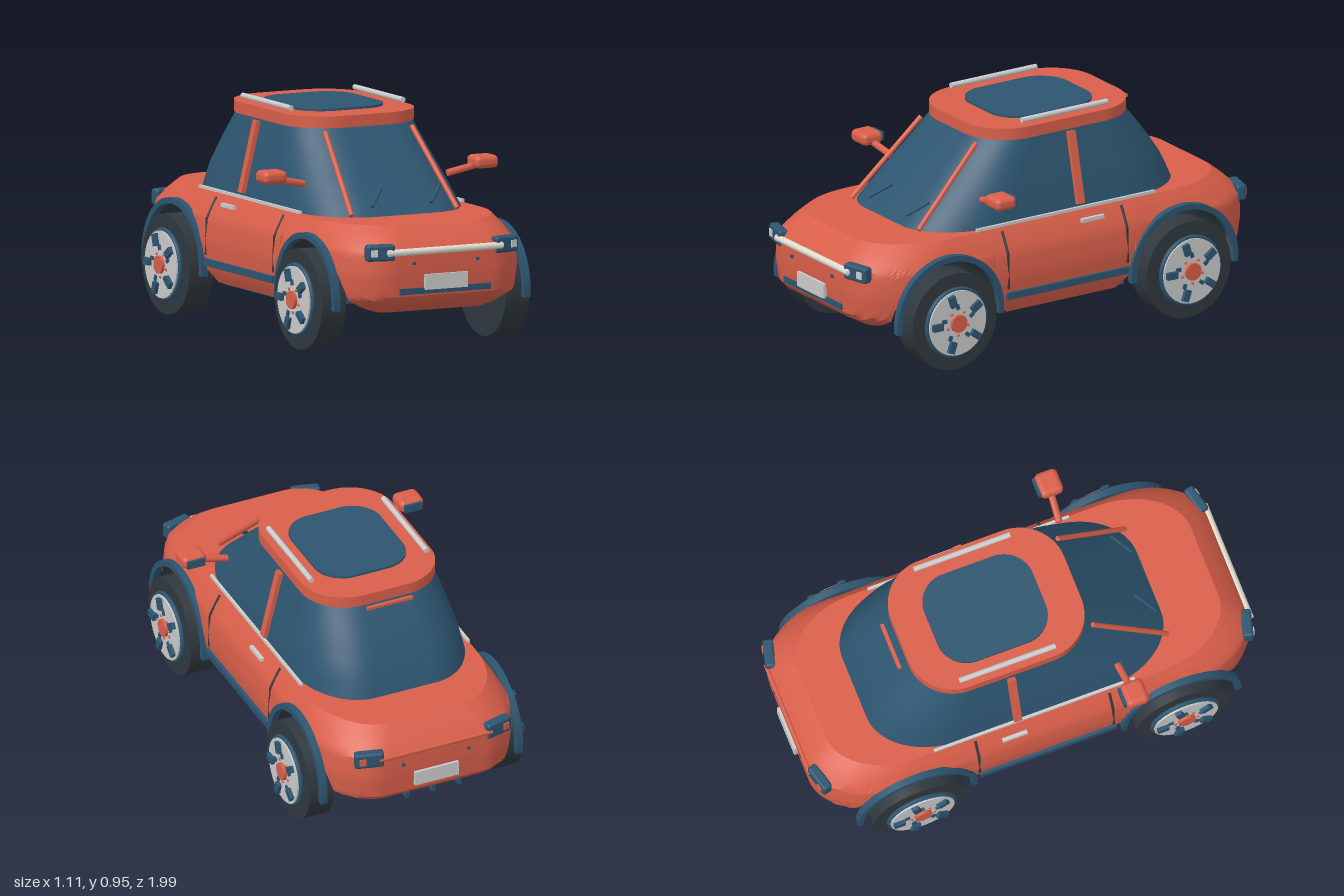
import * as THREE from 'three';
import { toCreasedNormals } from 'three/addons/utils/BufferGeometryUtils.js';
import { RoundedBoxGeometry } from 'three/addons/geometries/RoundedBoxGeometry.js';

const mat = (color) => new THREE.MeshStandardMaterial({ color });
const RED = mat(0xd95f4a), BLUE = mat(0x2d5570), DARK = mat(0x30383e), GREY = mat(0xcccccc);
const WHEELS = [0.6, -0.58];
const V = (x, y, z) => new THREE.Vector3(x, y, z);
const lerp = THREE.MathUtils.lerp;

// Piecewise linear lookup in rows of [y, a, b, ...], rising in y
function lookup(rows, y, col) {
  let i = 0;
  while (i < rows.length - 2 && y > rows[i + 1][0]) i++;
  const p = rows[i], q = rows[i + 1];
  return lerp(p[col], q[col], THREE.MathUtils.clamp((y - p[0]) / (q[0] - p[0]), 0, 1));
}

// Half plan outline, from front centre round the +x side to back centre
const CORNER = 20, STRAIGHT = 100, COLS = CORNER * 2 + STRAIGHT + 2;
function outline(k, w, front, back, rx, rz) {
  if (k === 0) return [0, front];
  if (k === COLS) return [0, back];
  k -= 1;
  if (k > CORNER && k < CORNER + STRAIGHT) return [w, lerp(front - rz, back + rz, (k - CORNER) / STRAIGHT)];
  const rear = k >= CORNER + STRAIGHT;
  const a = ((rear ? k - STRAIGHT : k) / CORNER) * Math.PI / 2;
  return [w - rx + rx * Math.sin(a), (rear ? back + rz : front - rz) + rz * Math.cos(a)];
}

// Walls stacked from plan outlines; rows are [y, halfWidth, front, back, rx, rz]
function shell(rows, levels, bottomAt) {
  const top = rows[rows.length - 1][0];
  const at = (k, y) => {
    const [x, z] = outline(k, ...[1, 2, 3, 4, 5].map((c) => lookup(rows, y, c)));
    return V(x, y, z);
  };
  const half = [];
  for (let k = 0; k <= COLS; k++) {
    let lo = rows[0][0], hi = top;
    for (let n = 0; n < 18; n++) {
      const m = (lo + hi) / 2;
      if (bottomAt(at(k, m).z) > m) lo = m; else hi = m;
    }
    half.push(Array.from({ length: levels + 1 }, (_, l) => at(k, lerp(lo, top, l / levels))));
  }
  const wall = [], lid = [], floor = [], arch = [];
  const quad = (out, a, b, c, d) => [a, b, c, a, c, d].forEach((p) => out.push(p.x, p.y, p.z));
  const m = (p) => V(-p.x, p.y, p.z);
  for (let k = 0; k < COLS; k++) {
    const p = half[k], q = half[k + 1];
    for (let l = 0; l < levels; l++) {
      quad(wall, p[l], q[l], q[l + 1], p[l + 1]);
      quad(wall, m(q[l]), m(p[l]), m(p[l + 1]), m(q[l + 1]));
    }
    quad(lid, p[levels], q[levels], m(q[levels]), m(p[levels]));
    quad(Math.max(p[0].y, q[0].y) > rows[0][0] + 0.01 ? arch : floor, m(p[0]), m(q[0]), q[0], p[0]);
  }
  const geo = (a) => {
    const g = new THREE.BufferGeometry();
    g.setAttribute('position', new THREE.Float32BufferAttribute(a, 3));
    g.computeVertexNormals();
    return toCreasedNormals(g, 0.6);
  };
  return { wall: geo(wall), lid: geo(lid), floor: geo(floor), arch: geo(arch) };
}

// Horizontal rounded plate
function plate(w, front, back, r, y, h) {
  const s = new THREE.Shape();
  const c = [[w - r, -front + r, -Math.PI / 2], [w - r, -back - r, 0], [-w + r, -back - r, Math.PI / 2], [-w + r, -front + r, Math.PI]];
  c.forEach(([x, yy, a]) => s.absarc(x, yy, r, a, a + Math.PI / 2));
  const g = new THREE.ExtrudeGeometry(s, { depth: h, bevelEnabled: false, curveSegments: 14 });
  return toCreasedNormals(g.rotateX(-Math.PI / 2).translate(0, y, 0), 0.6);
}

export function createModel() {
  const car = new THREE.Group();
  car.name = 'car';
  const add = (name, geo, material, x = 0, y = 0, z = 0, parent = car) => {
    const mesh = new THREE.Mesh(geo, material);
    mesh.name = name;
    mesh.position.set(x, y, z);
    parent.add(mesh);
    return mesh;
  };
  const box = (name, w, h, d, material, x, y, z, parent) => add(name, new THREE.BoxGeometry(w, h, d), material, x, y, z, parent);
  const rod = (name, a, b, r, material) => {
    const mesh = add(name, new THREE.CylinderGeometry(r, r, a.distanceTo(b), 12), material);
    mesh.position.copy(a).lerp(b, 0.5);
    mesh.quaternion.setFromUnitVectors(V(0, 1, 0), b.clone().sub(a).normalize());
    return mesh;
  };

  // Lower body with wheel openings running right across
  const bodyRows = [[0.17, 0.41, 0.86], [0.235, 0.445, 0.975], [0.34, 0.455, 0.985], [0.44, 0.445, 0.985], [0.5, 0.415, 0.93], [0.54, 0.39, 0.88]]
    .map(([y, w, l]) => [y, w, l, -l, 0.23, 0.33]);
  const bottomAt = (z) => {
    const d = Math.min(...WHEELS.map((c) => Math.abs(z - c)));
    return d < 0.25 ? 0.22 + Math.sqrt(0.0625 - d * d) : 0.17;
  };
  const body = shell(bodyRows, 14, bottomAt);
  add('bodySides', body.wall, RED);
  add('bodyTop', body.lid, RED);
  add('bodyUnderside', body.floor, RED);
  add('wheelWells', body.arch, DARK);
  box('floorPan', 0.64, 0.04, 0.74, BLUE, 0, 0.16, 0);

  // Glasshouse and roof
  const cabin = shell([[0.535, 0.38, 0.635, -0.69, 0.24, 0.33], [0.64, 0.36, 0.525, -0.645, 0.23, 0.3],
    [0.75, 0.33, 0.41, -0.575, 0.22, 0.26], [0.875, 0.295, 0.285, -0.48, 0.2, 0.21]], 9, () => 0);
  add('cabinGlass', cabin.wall, BLUE);
  add('roof', plate(0.3, 0.29, -0.485, 0.2, 0.872, 0.05), RED);
  add('sunroof', plate(0.205, 0.14, -0.345, 0.13, 0.915, 0.017), BLUE);
  box('rearSpoiler', 0.21, 0.012, 0.016, RED, 0, 0.88, -0.525);

  // Wipers sweep the same way
  for (const x of [-0.145, 0.135]) rod('wiper', V(x, 0.58, 0.605), V(x + 0.075, 0.645, 0.54), 0.007, BLUE);

  for (const s of [1, -1]) {
    rod('windscreenPillar', V(s * 0.25, 0.55, 0.62), V(s * 0.205, 0.86, 0.3), 0.011, RED);
    box('sidePillar', 0.02, 0.31, 0.035, RED, s * 0.35, 0.717, -0.105).rotation.z = s * 0.235;
    rod('roofRail', V(s * 0.265, 0.942, 0.11), V(s * 0.265, 0.942, -0.32), 0.012, GREY);
    box('waistTrim', 0.012, 0.012, 0.9, GREY, s * 0.385, 0.548, -0.03);

    // Mirrors
    rod('mirrorArm', V(s * 0.34, 0.66, 0.36), V(s * 0.46, 0.685, 0.37), 0.015, RED);
    add('mirrorHousing', new RoundedBoxGeometry(0.11, 0.055, 0.1, 3, 0.022), RED, s * 0.5, 0.702, 0.375);
    box('mirrorGlass', 0.08, 0.035, 0.012, BLUE, s * 0.5, 0.702, 0.32);

    // Doors
    for (const z of [0.3, -0.3]) {
      rod('doorSeamLower', V(s * 0.45, 0.285, z), V(s * 0.445, 0.44, z), 0.006, DARK);
      rod('doorSeamUpper', V(s * 0.445, 0.44, z), V(s * 0.4, 0.525, z), 0.006, DARK);
    }
    box('doorHandle', 0.016, 0.016, 0.11, GREY, s * 0.432, 0.508, -0.135);
    box('sillTrim', 0.025, 0.03, 0.61, BLUE, s * 0.45, 0.255, 0.005);

    // Wheel arch trims and wheels
    for (const z of WHEELS) {
      const arc = new THREE.Shape();
      arc.absarc(0, 0, 0.268, -0.12, Math.PI + 0.12, false);
      arc.absarc(0, 0, 0.243, Math.PI + 0.12, -0.12, true);
      const trim = new THREE.ExtrudeGeometry(arc, { depth: 0.03, bevelEnabled: false, curveSegments: 24 }).translate(0, 0, -0.015);
      add('archTrim', toCreasedNormals(trim, 0.6), BLUE, s * 0.45, 0.222, z).rotation.y = Math.PI / 2;

      const wheel = new THREE.Group();
      wheel.name = 'wheel';
      wheel.position.set(s * 0.435, 0.212, z);
      wheel.rotation.y = s * Math.PI / 2;
      car.add(wheel);
      const disc = (name, r, depth, material, front) =>
        add(name, new THREE.CylinderGeometry(r, r, depth, 40).rotateX(Math.PI / 2), material, 0, 0, front - depth / 2, wheel);
      disc('tyre', 0.212, 0.113, DARK, 0.057);
      disc('rim', 0.142, 0.04, GREY, 0.082);
      add('rimRing', new THREE.TorusGeometry(0.145, 0.01, 8, 40), BLUE, 0, 0, 0.066, wheel);
      disc('hubCap', 0.038, 0.03, RED, 0.096);
      for (let i = 0; i < 5; i++) {
        const spoke = new THREE.Group();
        spoke.name = 'spoke';
        spoke.rotation.z = i * Math.PI * 2 / 5 + 0.3;
        wheel.add(spoke);
        box('spokeInset', 0.03, 0.05, 0.025, BLUE, 0, 0.106, 0.086, spoke);
        box('spokeStem', 0.016, 0.022, 0.018, BLUE, 0.018, 0.07, 0.08, spoke);
        add('wheelBolt', new THREE.SphereGeometry(0.007, 8, 6), RED, -0.018, 0.05, 0.082, spoke);
      }
    }

    // Lamp units, front and rear
    for (const f of [1, -1]) {
      const lamp = add(f > 0 ? 'headlamp' : 'tailLamp', new RoundedBoxGeometry(0.125, 0.07, 0.045, 3, 0.012), BLUE, s * 0.295, 0.44, f * 0.956);
      lamp.rotation.y = s * f * 0.25;
      box('lampLens', 0.028, 0.03, 0.012, f > 0 ? GREY : RED, 0.03 * s, 0, f * 0.022, lamp);
      box('parkingSensor', 0.013, 0.013, 0.014, BLUE, s * 0.15, 0.39, f * 0.985);
    }
    add('lightBarEnd', new THREE.SphereGeometry(0.02, 12, 8), GREY, s * 0.26, 0.44, 0.975);
  }

  // Nose and tail details
  rod('frontLightBar', V(-0.27, 0.438, 0.982), V(0.27, 0.438, 0.982), 0.015, mat(0xe0ddd0));
  rod('rearLightBar', V(-0.26, 0.44, -0.985), V(0.26, 0.44, -0.985), 0.009, RED);
  for (const f of [1, -1]) box('numberPlate', 0.2, 0.065, 0.016, GREY, 0, 0.308, f * 0.988);
  box('frontBumperStrip', 0.43, 0.026, 0.03, BLUE, 0, 0.271, 0.972);
  for (const x of [-0.12, 0, 0.12]) {
    box('rearFin', 0.016, 0.03, 0.05, BLUE, x, 0.215, -0.94);
  }
  return car;
}
